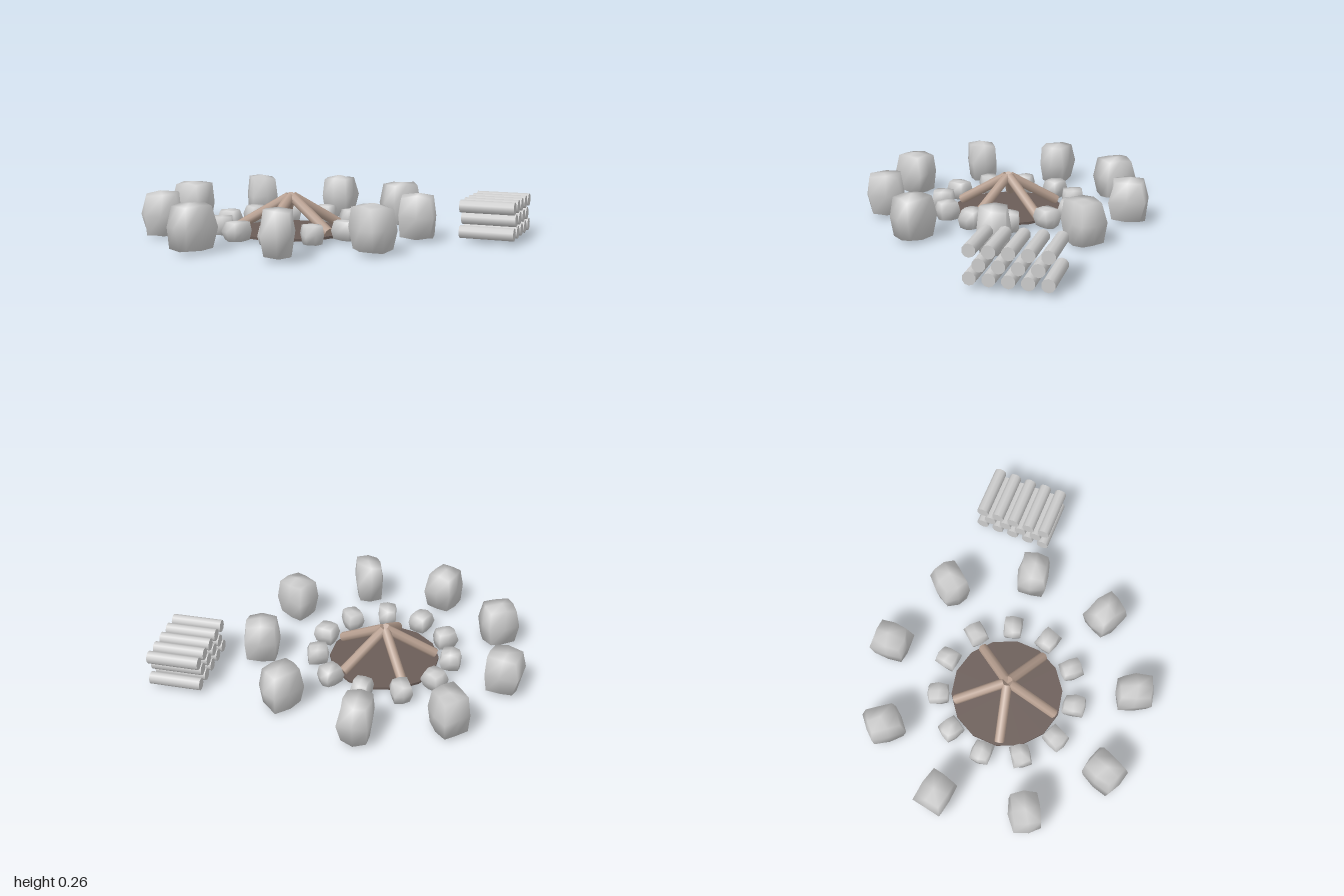
import * as THREE from 'three';
import { mergeVertices } from 'three/addons/utils/BufferGeometryUtils.js';

// Small seeded generator, returns values in -1..1
function makeRandom(seed) {
  let s = seed;
  return () => {
    s = (s * 16807) % 2147483647;
    return (s / 2147483647) * 2 - 1;
  };
}

// Boulder: a coarse box with drawn-in corners and uneven vertices, smooth shaded
function stoneGeometry(w, h, d, seed) {
  const rnd = makeRandom(seed);
  let geo = new THREE.BoxGeometry(2, 2, 2, 2, 2, 2);
  geo.deleteAttribute('uv');
  geo.deleteAttribute('normal');
  geo = mergeVertices(geo);
  const p = geo.attributes.position;
  const v = new THREE.Vector3();
  for (let i = 0; i < p.count; i++) {
    v.fromBufferAttribute(p, i);
    const ends = Math.abs(v.y);
    const sides = Math.abs(v.x) + Math.abs(v.z);
    const xz = (ends ? 0.83 : 1) * (sides > 1 ? 0.92 : 1);
    const y = 1 - 0.07 * sides;
    p.setXYZ(i,
      (v.x * xz + rnd() * 0.08) * w / 2,
      (v.y * y + rnd() * 0.05) * h / 2,
      (v.z * xz + rnd() * 0.08) * d / 2);
  }
  geo.computeVertexNormals();
  return geo;
}

// Round pole running between two points
function pole(from, to, radius, sides, material, name) {
  const dir = to.clone().sub(from);
  const mesh = new THREE.Mesh(new THREE.CylinderGeometry(radius, radius, dir.length(), sides), material);
  mesh.position.copy(from).add(to).multiplyScalar(0.5);
  mesh.quaternion.setFromUnitVectors(new THREE.Vector3(0, 1, 0), dir.normalize());
  mesh.name = name;
  return mesh;
}

export function createModel() {
  const model = new THREE.Group();
  model.name = 'campfire';
  const grey = new THREE.MeshStandardMaterial({ color: 0xcccccc });
  const wood = new THREE.MeshStandardMaterial({ color: 0xb8a091 });
  const ash = new THREE.MeshStandardMaterial({ color: 0x6b5d58 });

  // Fire pit, everything in it arranged around its own centre
  const pit = new THREE.Group();
  pit.name = 'firePit';
  pit.position.set(-0.22, 0, -0.03);
  model.add(pit);

  const ashBed = new THREE.Mesh(new THREE.CylinderGeometry(0.315, 0.315, 0.014, 14), ash);
  ashBed.name = 'ashBed';
  ashBed.position.y = 0.022;
  pit.add(ashBed);

  // Five leaning sticks meeting at the top
  for (let i = 0; i < 5; i++) {
    const a = (i / 5) * Math.PI * 2;
    const foot = new THREE.Vector3(Math.cos(a) * 0.295, 0.045, Math.sin(a) * 0.295);
    const tip = new THREE.Vector3(Math.cos(a) * 0.013, 0.212, Math.sin(a) * 0.013);
    pit.add(pole(foot, tip, 0.028, 8, wood, 'stick'));
  }

  // Rings of stones: small ones edging the fire, large ones as seats
  const ring = (name, count, radius, y, w, h, d, seed) => {
    for (let i = 0; i < count; i++) {
      const a = (i / count) * Math.PI * 2;
      const stone = new THREE.Mesh(stoneGeometry(w, h, d, seed + i * 977), grey);
      stone.name = name;
      stone.position.set(Math.cos(a) * radius, y, Math.sin(a) * radius);
      stone.rotation.y = -a;
      pit.add(stone);
    }
  };
  ring('ringStone', 11, 0.385, 0.065, 0.125, 0.11, 0.112, 4211);
  ring('seatStone', 9, 0.71, 0.13, 0.21, 0.25, 0.175, 9127);

  // Stacked firewood: rows of five, four and five logs
  const stack = new THREE.Group();
  stack.name = 'logStack';
  stack.position.set(0.735, 0, 0.565);
  stack.rotation.y = 0.711;
  [5, 4, 5].forEach((count, row) => {
    for (let i = 0; i < count; i++) {
      const x = (i - (count - 1) / 2) * 0.0955;
      const y = 0.055 + row * 0.069;
      stack.add(pole(new THREE.Vector3(x, y, -0.146), new THREE.Vector3(x, y, 0.146), 0.035, 10, grey, 'log'));
    }
  });
  model.add(stack);

  return model;
}
